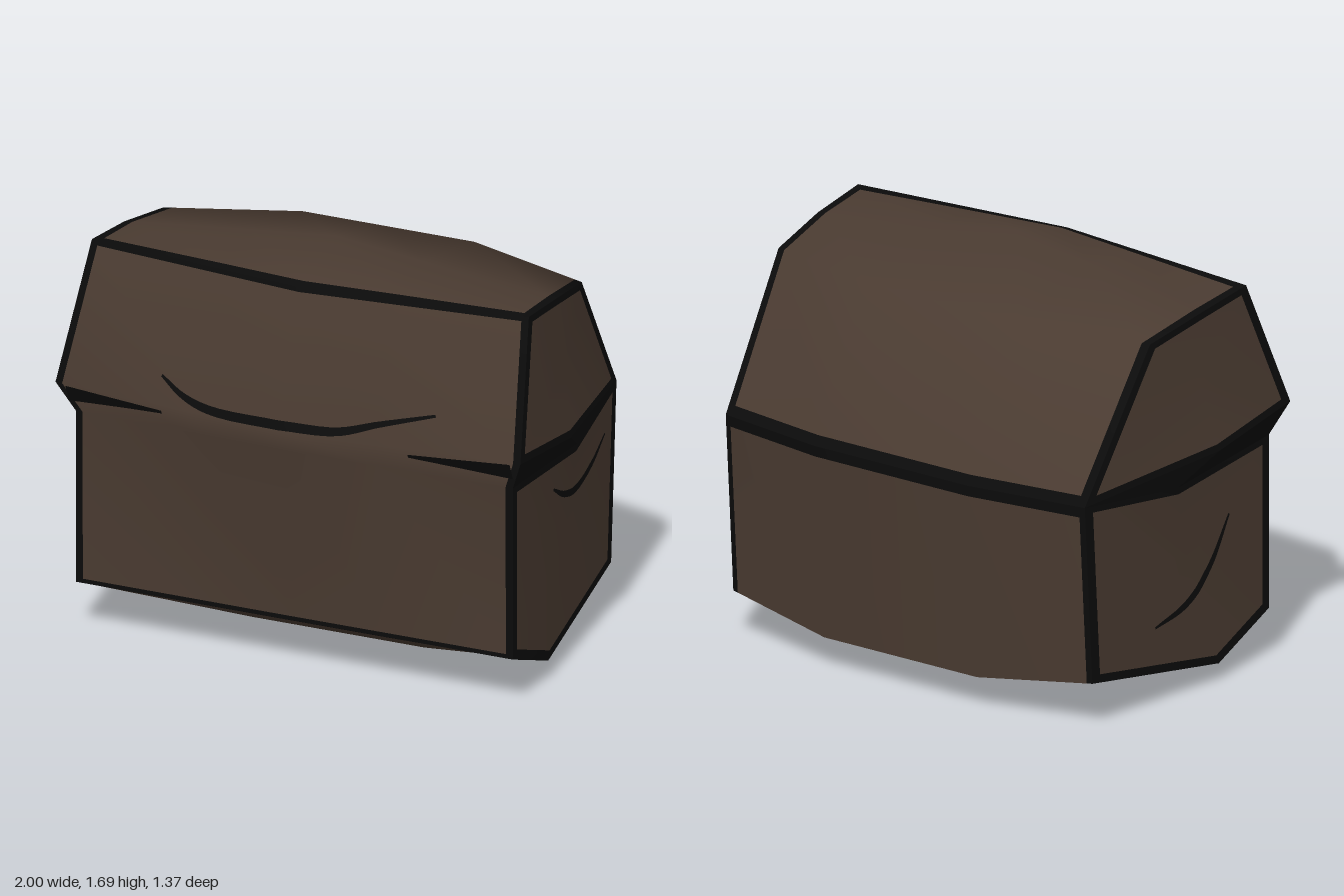
import * as THREE from 'three';

const brown = new THREE.MeshStandardMaterial({ name: 'dark brown', color: 0x4a3b31 });
const black = new THREE.MeshStandardMaterial({ name: 'ink black', color: 0x0b0b0b, side: THREE.DoubleSide });

const V = (x, y, z) => new THREE.Vector3(x, y, z);
const mix = (a, b, t) => a.clone().lerp(b, t);

// One edge line across the chest, from its left end to its right end
function row(end, centre, mid = mix(end, centre, 0.6)) {
  const flip = p => V(-p.x, p.y, p.z);
  return { end, pts: [flip(end), flip(mid), centre, mid, end] };
}

// Mesh with brown faces and black border faces sharing smooth normals
function twoTone(name, points, brownIdx, blackIdx) {
  const g = new THREE.BufferGeometry().setFromPoints(points);
  g.setIndex([...brownIdx, ...blackIdx]);
  g.addGroup(0, brownIdx.length, 0);
  g.addGroup(brownIdx.length, blackIdx.length, 1);
  g.computeVertexNormals();
  const mesh = new THREE.Mesh(g, [brown, black]);
  mesh.name = name;
  return mesh;
}

// Lofted panel, with optional black bands at its first row, last row and sides
function panel(name, rows, { first = 0, last = 0, sides = 0 }) {
  const lines = rows.map(r => r.pts);
  const inset = (a, b, w) => a.map((p, i) => mix(p, b[i], w / p.distanceTo(b[i])));
  const n = lines.length;
  const top = first ? inset(lines[0], lines[1], first) : null;
  const bottom = last ? inset(lines[n - 1], lines[n - 2], last) : null;
  if (bottom) lines.splice(n - 1, 0, bottom);
  if (top) lines.splice(1, 0, top);
  const grid = sides ? lines.map(l => [
    l[0], mix(l[0], l[1], sides / l[0].distanceTo(l[1])), l[1], l[2], l[3],
    mix(l[4], l[3], sides / l[4].distanceTo(l[3])), l[4]]) : lines;
  const cols = grid[0].length, light = [], dark = [];
  for (let r = 0; r < grid.length - 1; r++) {
    for (let c = 0; c < cols - 1; c++) {
      const a = r * cols + c, b = a + cols;
      const edge = (first && r === 0) || (last && r === grid.length - 2)
        || (sides && (c === 0 || c === cols - 2));
      (edge ? dark : light).push(a, b, b + 1, a, b + 1, a + 1);
    }
  }
  return twoTone(name, grid.flat(), light, dark);
}

// Side panel: a black rim around a brown field; side is 1 or -1
function sidePanel(name, corners, side, rim, bulge) {
  const n = corners.length;
  const centre = corners.reduce((s, p) => s.add(p), V(0, 0, 0)).divideScalar(n);
  centre.x += bulge;
  const pts = [...corners, ...corners.map(p => mix(p, centre, rim)), centre].map(p => V(p.x * side, p.y, p.z));
  const light = [], dark = [];
  const tri = (list, a, b, c) => list.push(a, ...(side > 0 ? [b, c] : [c, b]));
  for (let i = 0; i < n; i++) {
    const j = (i + 1) % n;
    tri(dark, i, j, n + j);
    tri(dark, i, n + j, n + i);
    tri(light, n + i, n + j, 2 * n);
  }
  return twoTone(name, pts, light, dark);
}

// Directions from which painted strokes are laid on the surface
const faces = {
  front: [(u, v) => V(u, v, 3), V(0, 0, -1)],
  left: [(u, v) => V(3, v, u), V(-1, 0, 0)],
  right: [(u, v) => V(-3, v, u), V(1, 0, 0)],
  bottom: [(u, v) => V(u, -3, v), V(0, 1, 0)],
};

// Thin painted stroke that follows the surface below it
function stroke(body, name, face, points, width) {
  const [origin, dir] = faces[face];
  const ray = new THREE.Raycaster();
  const curve = new THREE.CatmullRomCurve3(points.map(([u, v]) => V(u, v, 0)));
  const pts = [], idx = [], steps = 28;
  for (let i = 0; i <= steps; i++) {
    const t = i / steps, p = curve.getPoint(t), d = curve.getTangent(t);
    const w = width(t) / 2;
    const pair = [1, -1].map(s => {
      ray.set(origin(p.x - d.y * w * s, p.y + d.x * w * s), dir);
      const hit = ray.intersectObjects(body.children, false)[0];
      return hit && hit.point.addScaledVector(dir, -0.005);
    });
    if (!pair[0] || !pair[1]) continue;
    pts.push(...pair);
  }
  for (let k = 0; k + 3 < pts.length; k += 2) idx.push(k, k + 1, k + 3, k, k + 3, k + 2);
  const g = new THREE.BufferGeometry().setFromPoints(pts);
  g.setIndex(idx);
  g.computeVertexNormals();
  const mesh = new THREE.Mesh(g, black);
  mesh.name = name;
  return mesh;
}

export function createModel() {
  const model = new THREE.Group();
  model.name = 'chest';
  const body = new THREE.Group();
  body.name = 'chestBody';

  // Edge lines, running from the lid front down, under and up the back
  const lidFront = row(V(0.94, 1.6, 0.38), V(0, 1.6, 0.48));
  const lip = row(V(1, 1.065, 0.59), V(0, 1.065, 0.685));
  const bodyTop = row(V(0.94, 0.93, 0.53), V(0, 0.96, 0.62));
  const frontFoot = row(V(0.94, 0.205, 0.53), V(0, 0.205, 0.53));
  const keel = row(V(0.94, 0.075, 0.2), V(0, 0, 0.12), V(0.37, 0, 0.12));
  const backFoot = row(V(0.87, 0.2, -0.54), V(0, 0.14, -0.62), V(0.37, 0.14, -0.62));
  const backRim = row(V(0.87, 0.95, -0.59), V(0, 0.96, -0.685), V(0.37, 0.96, -0.685));
  const shoulder = row(V(0.9, 1.52, -0.2), V(0, 1.54, -0.35), V(0.37, 1.54, -0.35));
  const crown = row(V(0.93, 1.57, 0.1), V(0, 1.69, 0.15));

  // Wraparound panels
  body.add(
    panel('front', [lidFront, lip, bodyTop, frontFoot], { first: 0.02, last: 0.018, sides: 0.03 }),
    panel('underside', [frontFoot, keel, backFoot], { first: 0.03 }),
    panel('back', [backFoot, backRim], { last: 0.045, sides: 0.025 }),
    panel('lidTop', [backRim, shoulder, crown, lidFront], { first: 0.045, last: 0.04, sides: 0.035 }),
  );

  // Side panels and the sloping underside of the lid rim
  const rimMid = V(1, 1.0, 0.12), bodyMid = V(0.94, 0.89, -0.07);
  for (const s of [1, -1]) {
    const label = s > 0 ? 'left' : 'right';
    body.add(
      sidePanel(label + 'LidSide', [lidFront, lip].map(r => r.end)
        .concat(rimMid, [backRim, shoulder, crown].map(r => r.end)), s, 0.1, 0.01),
      sidePanel(label + 'BodySide', [bodyTop, frontFoot, keel, backFoot, backRim].map(r => r.end)
        .concat(bodyMid), s, 0.08, 0.01),
      sidePanel(label + 'LipFront', [lip.end, bodyTop.end, bodyMid, rimMid], s, 0.99, 0),
      sidePanel(label + 'LipBack', [rimMid, bodyMid, backRim.end], s, 0.99, 0),
    );
  }

  // Painted strokes
  const taper = w => t => w * (0.3 + 0.7 * Math.sin(Math.PI * t));
  const marks = [
    stroke(body, 'frontCurve', 'front', [[-0.54, 1.175], [-0.44, 1.12], [-0.31, 1.088], [0, 1.09], [0.24, 1.095], [0.4, 1.14], [0.63, 1.2]], taper(0.036)),
    stroke(body, 'leftCurve', 'left', [[0.15, 0.78], [0.04, 0.72], [-0.13, 0.695], [-0.29, 0.72], [-0.44, 0.785]], taper(0.034)),
    stroke(body, 'rightCurve', 'right', [[-0.18, 0.33], [0, 0.38], [0.15, 0.5], [0.27, 0.68]], taper(0.034)),
    stroke(body, 'undersideCurve', 'bottom', [[0.4, -0.12], [0.25, 0], [-0.05, 0.05], [-0.55, -0.07]], taper(0.04)),
  ];
  for (const s of [1, -1]) {
    marks.push(stroke(body, s > 0 ? 'leftLipShade' : 'rightLipShade', 'front',
      [[0.53 * s, 1.03], [0.75 * s, 1.025], [0.955 * s, 1.02]], t => 0.015 + 0.06 * t));
  }
  model.add(body, ...marks);
  return model;
}
